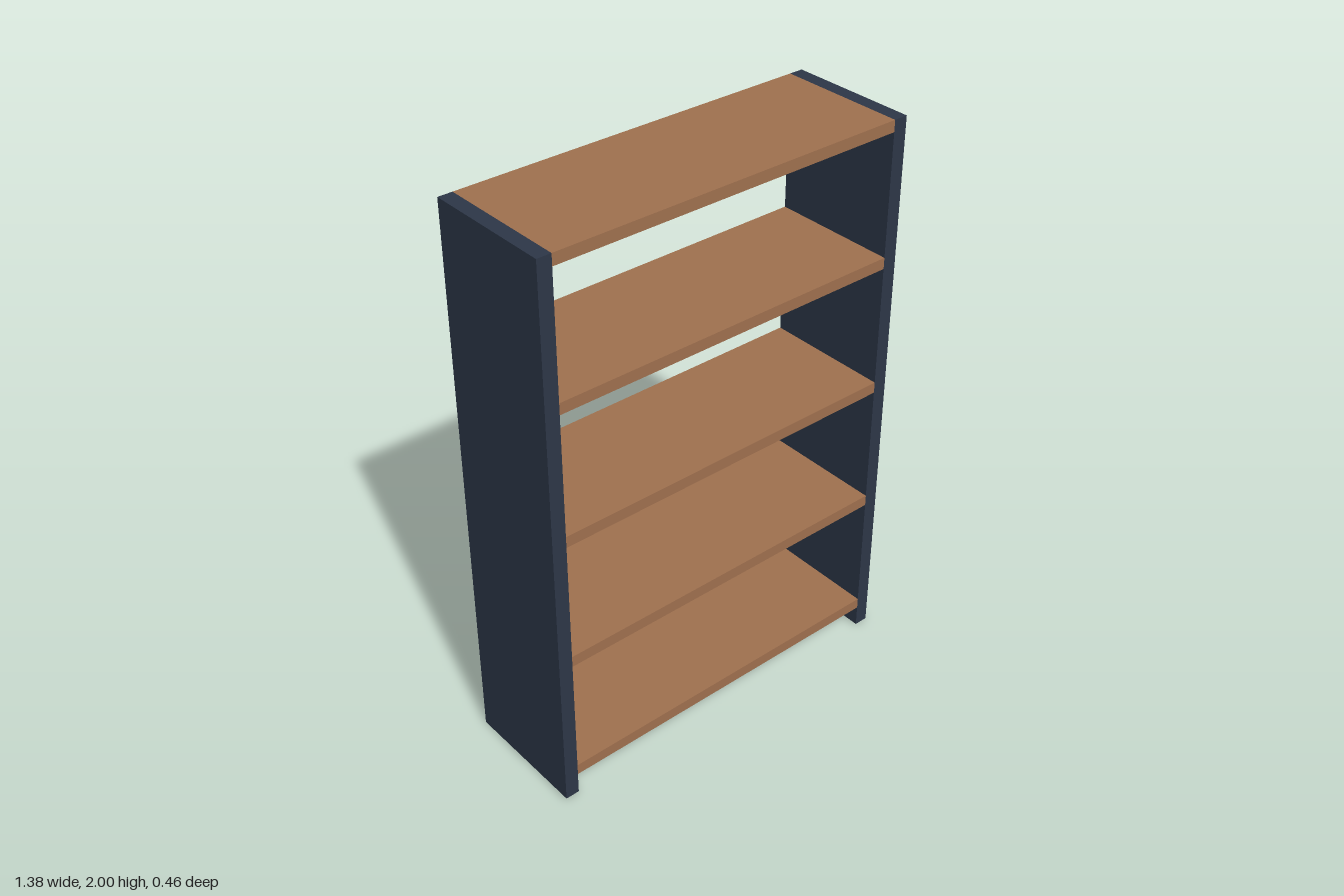
import * as THREE from 'three';

const HEIGHT = 2, WIDTH = 1.38, DEPTH = 0.46;
const PANEL = 0.05, SHELF = 0.04;
const SHELF_COUNT = 5, FIRST_SHELF = 0.10, LAST_SHELF = HEIGHT - SHELF / 2;

export function createModel() {
  const group = new THREE.Group();
  group.name = 'bookshelf';
  const panelMaterial = new THREE.MeshStandardMaterial({ color: 0x2d3748 });
  const woodMaterial = new THREE.MeshStandardMaterial({ color: 0xa0714f });

  const addBoard = (name, size, position, material) => {
    const mesh = new THREE.Mesh(new THREE.BoxGeometry(...size), material);
    mesh.name = name;
    mesh.position.set(...position);
    group.add(mesh);
  };

  // Upright side panels
  for (const side of [-1, 1]) {
    addBoard(side > 0 ? 'leftPanel' : 'rightPanel', [PANEL, HEIGHT, DEPTH],
      [side * (WIDTH - PANEL) / 2, HEIGHT / 2, 0], panelMaterial);
  }

  // Evenly spaced shelves, the last flush with the top of the panels
  for (let i = 0; i < SHELF_COUNT; i++) {
    const y = THREE.MathUtils.lerp(FIRST_SHELF, LAST_SHELF, i / (SHELF_COUNT - 1));
    addBoard(`shelf${i + 1}`, [WIDTH - 2 * PANEL, SHELF, DEPTH], [0, y, 0], woodMaterial);
  }

  return group;
}
